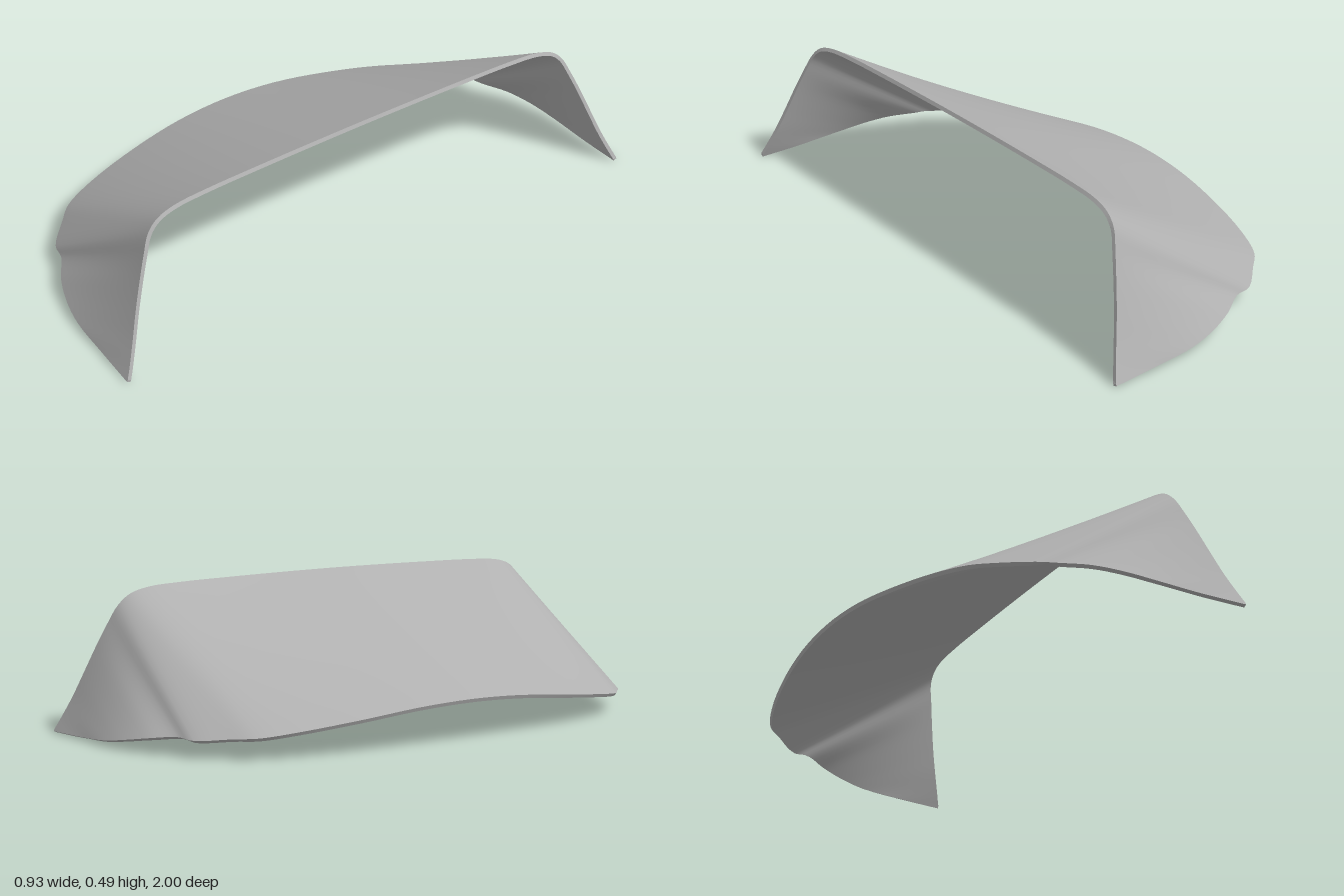
import * as THREE from 'three';

const THICKNESS = 0.013;
const COLUMNS = 96; // across the width (z)
const ROWS = 16;    // from the upper edge to the lower edge

// Paired points of the upper and lower edge, from the middle out to the +z corner
const PAIRS = [
  [0.32, 0.49, 0, -0.47, 0.142, 0],
  [0.32, 0.489, 0.2, -0.462, 0.134, 0.2],
  [0.32, 0.486, 0.42, -0.437, 0.112, 0.4],
  [0.321, 0.482, 0.6, -0.39, 0.088, 0.6],
  [0.324, 0.474, 0.72, -0.34, 0.073, 0.72],
  [0.329, 0.455, 0.785, -0.28, 0.068, 0.78],
  [0.337, 0.42, 0.825, -0.19, 0.058, 0.86],
  [0.355, 0.36, 0.855, -0.12, 0.062, 0.88],
  [0.375, 0.29, 0.885, -0.04, 0.052, 0.93],
  [0.4, 0.2, 0.92, 0.05, 0.037, 0.965],
  [0.425, 0.12, 0.95, 0.15, 0.022, 0.985],
  [0.45, 0.05, 0.98, 0.3, 0.012, 0.992],
  [0.463, 0.014, 0.997, 0.463, 0.007, 1],
];

// Edge curve mirrored across z = 0
function edgeCurve(offset) {
  const half = PAIRS.map((p) => new THREE.Vector3(p[offset], p[offset + 1], p[offset + 2]));
  const mirrored = half.slice(1).reverse().map((p) => new THREE.Vector3(p.x, p.y, -p.z));
  return new THREE.CatmullRomCurve3([...mirrored, ...half]);
}

function gridGeometry(points, flip) {
  const index = [];
  const w = ROWS + 1;
  for (let i = 0; i < COLUMNS; i++) {
    for (let j = 0; j < ROWS; j++) {
      const a = i * w + j, b = a + w, c = a + 1, d = b + 1;
      if (flip) index.push(a, b, c, b, d, c);
      else index.push(a, c, b, b, c, d);
    }
  }
  const geometry = new THREE.BufferGeometry().setFromPoints(points);
  geometry.setIndex(index);
  geometry.computeVertexNormals();
  return geometry;
}

// Narrow band that closes the gap between both skins along the whole border
function rimGeometry(outer, inner) {
  const loop = [];
  const at = (i, j) => i * (ROWS + 1) + j;
  for (let j = 0; j < ROWS; j++) loop.push(at(0, j));
  for (let i = 0; i < COLUMNS; i++) loop.push(at(i, ROWS));
  for (let j = ROWS; j > 0; j--) loop.push(at(COLUMNS, j));
  for (let i = COLUMNS; i > 0; i--) loop.push(at(i, 0));
  const points = [];
  loop.forEach((p, k) => {
    const q = loop[(k + 1) % loop.length];
    points.push(outer[q], outer[p], inner[p], outer[q], inner[p], inner[q]);
  });
  const geometry = new THREE.BufferGeometry().setFromPoints(points);
  geometry.computeVertexNormals();
  return geometry;
}

export function createModel() {
  const group = new THREE.Group();
  group.name = 'curvedShield';
  const grey = new THREE.MeshStandardMaterial({ color: 0xb0b0b0 });
  grey.name = 'grey';

  // Outer skin: straight rulings between the two edge curves
  const upper = edgeCurve(0), lower = edgeCurve(3);
  const outer = [];
  for (let i = 0; i <= COLUMNS; i++) {
    const top = upper.getPoint(i / COLUMNS), bottom = lower.getPoint(i / COLUMNS);
    for (let j = 0; j <= ROWS; j++) outer.push(top.clone().lerp(bottom, j / ROWS));
  }
  const outerGeometry = gridGeometry(outer, false);

  // Inner skin: outer skin moved inward along its normals
  const normals = outerGeometry.getAttribute('normal');
  const inner = outer.map((p, k) => {
    const q = p.clone().addScaledVector(new THREE.Vector3().fromBufferAttribute(normals, k), -THICKNESS);
    q.y = Math.max(q.y, 0);
    return q;
  });

  const parts = {
    outerSkin: outerGeometry,
    innerSkin: gridGeometry(inner, true),
    rim: rimGeometry(outer, inner),
  };
  for (const [name, geometry] of Object.entries(parts)) {
    const mesh = new THREE.Mesh(geometry, grey);
    mesh.name = name;
    group.add(mesh);
  }
  return group;
}
